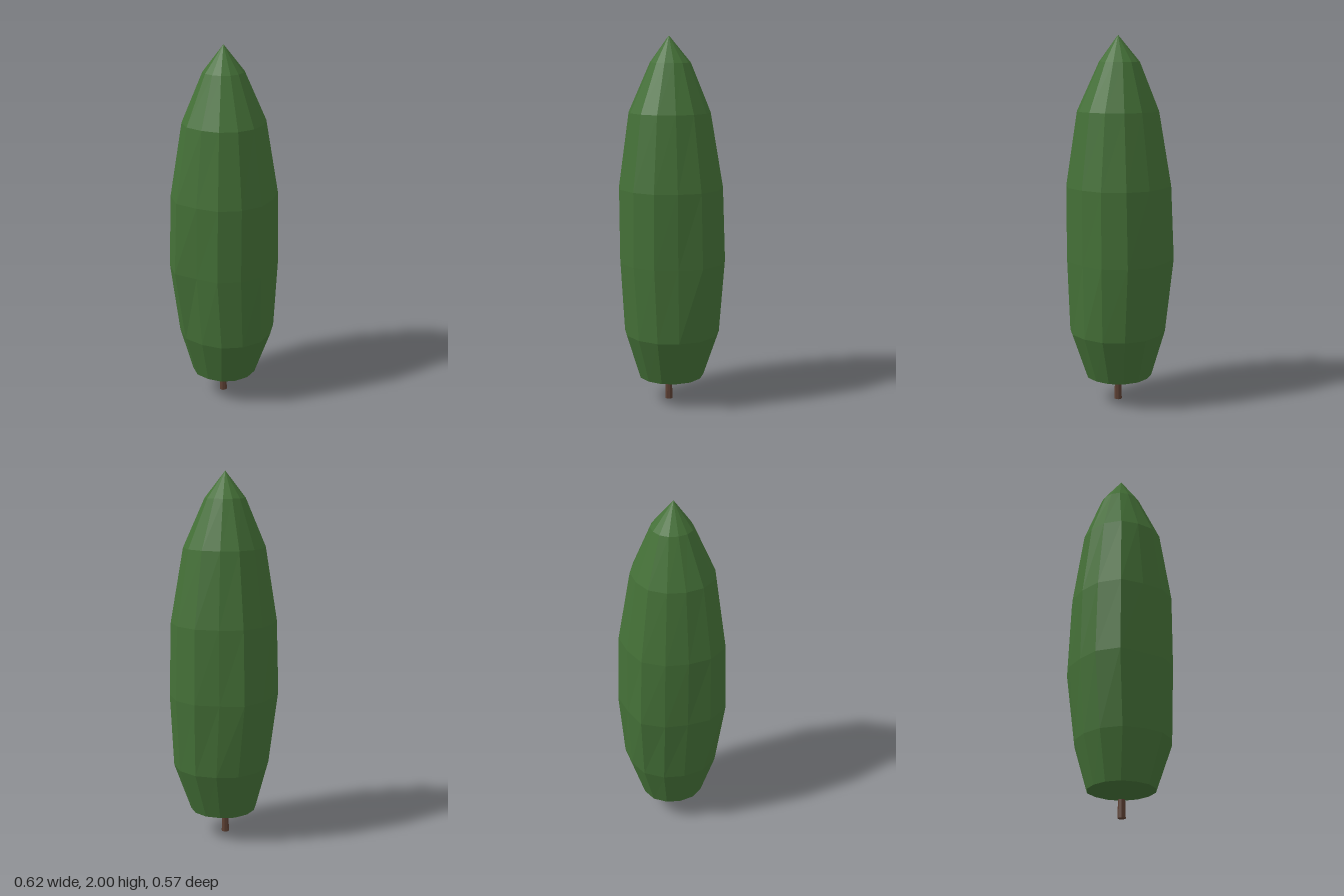
import * as THREE from 'three';

const CENTRE_X = -0.004, CENTRE_Z = 0.012;

// Irregularity of each of the 14 spokes, from +x round towards +z
const SPOKES = [1.035, 1.015, 0.925, 0.945, 0.935, 0.935, 0.89, 1.02, 0.98, 0.9, 0.94, 1.013, 0.95, 1.02];

// Rings from bottom to top: [height, radius, share of irregularity, x shift, z shift]
const RINGS = [
  [0.145, 0.182, 0.3, 0.01, 0],
  [0.40, 0.264, 0.4, 0.016, 0.01],
  [0.80, 0.300, 1.0, 0, 0],
  [1.20, 0.289, 0.7, 0, 0.005],
  [1.60, 0.222, 0.4, 0, 0.004],
  [1.86, 0.109, 0.2, 0.004, -0.006],
];

function crownGeometry() {
  const n = SPOKES.length;
  const position = [], index = [];
  for (const [y, radius, share, dx, dz] of RINGS) {
    for (let i = 0; i < n; i++) {
      const angle = (i / n) * Math.PI * 2;
      const r = radius * (1 + (SPOKES[i] - 1) * share);
      position.push(dx + Math.cos(angle) * r, y, dz + Math.sin(angle) * r);
    }
  }
  // Lower and upper tips
  const bottom = RINGS.length * n, top = bottom + 1;
  position.push(0, 0.09, 0, 0, 2, 0);

  for (let i = 0; i < n; i++) {
    const next = (i + 1) % n;
    index.push(bottom, i, next);
    for (let k = 0; k < RINGS.length - 1; k++) {
      const a = k * n + i, b = k * n + next;
      index.push(b, a, a + n, b, a + n, b + n);
    }
    const last = (RINGS.length - 1) * n;
    index.push(last + next, last + i, top);
  }

  const indexed = new THREE.BufferGeometry();
  indexed.setAttribute('position', new THREE.Float32BufferAttribute(position, 3));
  indexed.setIndex(index);
  const geometry = indexed.toNonIndexed();
  geometry.computeVertexNormals();
  return geometry;
}

export function createModel() {
  const foliage = new THREE.MeshStandardMaterial({ color: 0x447037, flatShading: true });
  foliage.name = 'foliage green';
  const bark = new THREE.MeshStandardMaterial({ color: 0x5c4033, flatShading: true });
  bark.name = 'bark brown';

  const tree = new THREE.Group();
  tree.name = 'cypressTree';

  // Faceted spindle-shaped crown
  const crown = new THREE.Mesh(crownGeometry(), foliage);
  crown.name = 'crown';
  crown.position.set(CENTRE_X, 0, CENTRE_Z);

  // Short trunk, running a little way into the crown
  const trunk = new THREE.Mesh(new THREE.CylinderGeometry(0.017, 0.021, 0.14, 8), bark);
  trunk.name = 'trunk';
  trunk.position.set(CENTRE_X, 0.07, CENTRE_Z);

  tree.add(crown, trunk);
  return tree;
}
